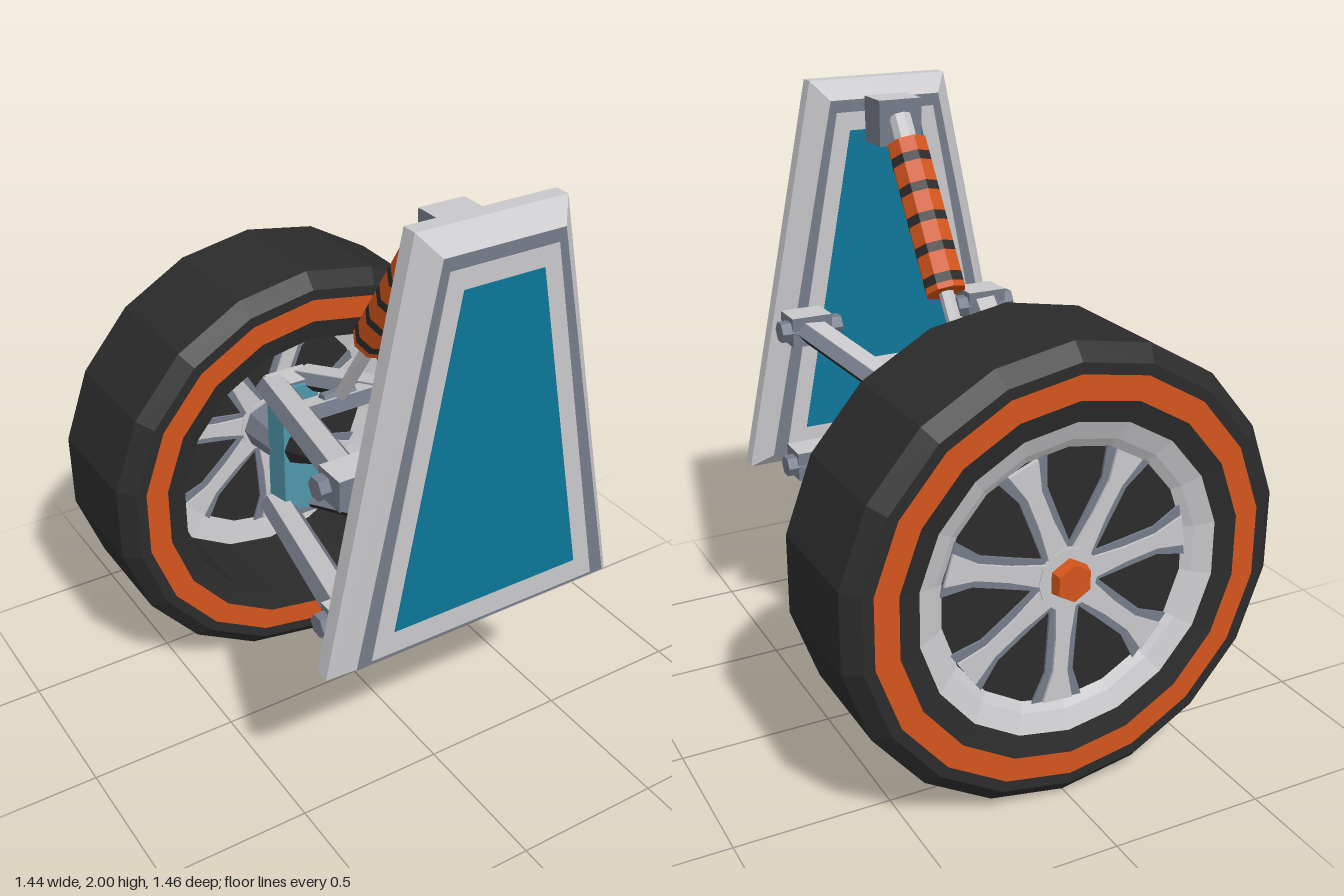
import * as THREE from 'three';

const mat = (name, color) => {
  const m = new THREE.MeshStandardMaterial({ color, flatShading: true });
  m.name = name;
  return m;
};

export function createModel() {
  const rubber = mat('dark rubber', 0x2b2b2b);
  const orange = mat('orange', 0xd3541c);
  const light = mat('light grey', 0xc8c8cb);
  const slate = mat('slate grey', 0x757b8a);
  const teal = mat('teal', 0x0c7698);
  const paleTeal = mat('pale teal', 0x4f97aa);
  const boxMats = [slate, slate, light, slate, slate, slate];

  const model = new THREE.Group();
  model.name = 'wheelSuspension';
  const V = (x, y, z) => new THREE.Vector3(x, y, z);

  const add = (name, geo, material, parent = model) => {
    const m = new THREE.Mesh(geo, material);
    m.name = name;
    parent.add(m);
    return m;
  };
  const box = (name, w, h, d, x, y, z, material = boxMats) => {
    const m = add(name, new THREE.BoxGeometry(w, h, d), material);
    m.position.set(x, y, z);
    return m;
  };
  // Tapered prism running from p to q
  const rod = (name, p, q, r0, r1, sides, material) => {
    const d = q.clone().sub(p);
    const m = add(name, new THREE.CylinderGeometry(r1, r0, d.length(), sides), material);
    m.position.copy(p).addScaledVector(d, 0.5);
    m.quaternion.setFromUnitVectors(V(0, 1, 0), d.normalize());
    return m;
  };
  const polygon = (pts) => new THREE.Shape(pts.map(([x, y]) => new THREE.Vector2(x, y)));
  const plate = (pts, depth) =>
    new THREE.ExtrudeGeometry(polygon(pts), { depth, bevelEnabled: false });

  // ---- Wheel: strips of [radius, z] turned about the axle ----
  const wheel = new THREE.Group();
  wheel.name = 'wheel';
  wheel.position.y = 0.73;
  model.add(wheel);
  const turn = (name, pts, material) => {
    const geo = new THREE.LatheGeometry(pts.map(([r, z]) => new THREE.Vector2(r, z)), 18);
    return add(name, geo.rotateX(Math.PI / 2), material, wheel);
  };
  const zb = -0.73, zf = -0.245;
  turn('tireTread', [[0.645, zb], [0.68, zb], [0.73, -0.685], [0.73, -0.29], [0.68, zf], [0.645, zf]], rubber);
  turn('outerStripe', [[0.568, zb], [0.645, zb]], orange);
  turn('innerStripe', [[0.645, zf], [0.568, zf]], orange);
  turn('outerBead', [[0.5, -0.715], [0.568, zb]], rubber);
  turn('innerBead', [[0.568, zf], [0.5, -0.26], [0.5, -0.6]], rubber);
  turn('outerRim', [[0.41, -0.67], [0.44, -0.69], [0.5, -0.715]], light);
  turn('innerRim', [[0.5, -0.6], [0.41, -0.62]], light);
  turn('outerDisc', [[0, -0.67], [0.41, -0.67]], rubber);
  turn('innerDisc', [[0.41, -0.62], [0, -0.62]], rubber);

  // Seven flared spokes on both faces of the disc
  const flare = (a, b, c) => [[-a, 0.03], [a, 0.03], [b, 0.2], [b, 0.31], [c, 0.405], [-c, 0.405], [-b, 0.31], [-b, 0.2]];
  const spokeEdge = plate(flare(0.05, 0.048, 0.085), 0.008);
  const spokeFace = plate(flare(0.04, 0.025, 0.05), 0.016);
  for (let i = 0; i < 7; i++) {
    const angle = Math.PI + ((i * 2) / 7) * Math.PI + 0.06;
    for (const [geo, depth, material, name] of [[spokeEdge, 0.008, slate, 'spokeEdge'], [spokeFace, 0.016, light, 'spokeFace']]) {
      for (const z of [-0.67 - depth, -0.62]) {
        const s = add(name, geo, material, wheel);
        s.position.z = z;
        s.rotation.z = angle;
      }
    }
  }
  rod('hub', V(0, 0.73, -0.69), V(0, 0.73, -0.6), 0.1, 0.1, 12, light);
  rod('hubNut', V(0, 0.73, -0.735 + 0.01), V(0, 0.73, -0.68), 0.06, 0.07, 6, orange);
  rod('axle', V(0, 0.73, -0.61), V(0, 0.73, -0.42), 0.09, 0.07, 8, slate);
  box('upright', 0.14, 0.5, 0.11, 0, 0.76, -0.4, paleTeal);

  // ---- Chassis panel: bevelled trapezoid, painted on both faces ----
  const trapezoid = (y0, w0, y1, w1) => [[-w0, y0], [w0, y0], [w1, y1], [-w1, y1]];
  const panel = new THREE.ExtrudeGeometry(polygon(trapezoid(0.735, 0.45, 1.94, 0.195)), {
    depth: 0.05, bevelThickness: 0.06, bevelSize: 0.06, bevelSegments: 1,
  });
  add('chassisPanel', panel, [slate, light]).position.z = 0.62;
  const paint = (name, pts, t, material) => {
    const geo = plate(pts, t);
    add(name + 'Front', geo, material).position.z = 0.73;
    add(name + 'Back', geo, material).position.z = 0.56 - t;
  };
  paint('panelBorder', trapezoid(0.745, 0.4, 1.9, 0.175), 0.002, light);
  paint('panelInset', trapezoid(0.82, 0.325, 1.84, 0.13), 0.004, teal);

  // ---- Wishbones: flattened six-sided legs with dark undersides ----
  const arm = (name, p, q) => {
    const g = new THREE.Group();
    g.name = name;
    const len = p.distanceTo(q);
    add('legTop', plate([[-0.062, 0], [0.062, 0], [0.034, 0.032], [-0.034, 0.032]], len), slate, g);
    add('legTopFace', plate([[-0.033, 0.032], [0.033, 0.032], [0.033, 0.035], [-0.033, 0.035]], len), light, g);
    add('legUnderside', plate([[-0.062, 0], [-0.034, -0.032], [0.034, -0.032], [0.062, 0]], len), rubber, g);
    g.position.copy(p);
    g.lookAt(q);
    model.add(g);
  };
  for (const [label, y] of [['upper', 1.205], ['lower', 0.72]]) {
    for (const s of [-1, 1]) {
      arm(label + 'WishboneLeg', V(s * 0.33, y, 0.48), V(s * 0.06, y - 0.215, -0.43));
      box(label + 'WishboneMount', 0.14, 0.1, 0.11, s * 0.33, y, 0.505);
      rod(label + 'WishbonePin', V(s * 0.22, y, 0.485), V(s * 0.435, y, 0.485), 0.037, 0.037, 6, slate);
    }
    box(label + 'BallJoint', 0.15, 0.06, 0.1, 0, y - 0.215, -0.41);
  }
  const cross = box('upperCrossbar', 0.34, 0.05, 0.08, 0, 1.07, -0.1, [slate, slate, light, rubber, slate, slate]);
  cross.rotation.x = -0.23;

  // ---- Drive shaft with boots ----
  box('driveMount', 0.16, 0.16, 0.1, 0, 0.96, 0.515);
  rod('innerBoot', V(0, 0.96, 0.475), V(0, 0.93, 0.36), 0.075, 0.038, 8, rubber);
  rod('driveShaft', V(0, 0.935, 0.38), V(0, 0.775, -0.3), 0.03, 0.03, 6, slate);
  rod('outerBoot', V(0, 0.795, -0.23), V(0, 0.77, -0.35), 0.035, 0.07, 8, rubber);

  // ---- Shock absorber: alternating orange and dark rings ----
  box('shockMount', 0.15, 0.15, 0.12, 0, 1.875, 0.5);
  const top = V(0, 1.815, 0.395), bottom = V(0, 1.385, 0.11);
  const at = (t) => top.clone().lerp(bottom, t);
  rod('shockUpperRod', at(-0.18), at(0.02), 0.038, 0.038, 8, light);
  rod('shockLowerRod', at(0.98), V(0, 1.09, -0.09), 0.024, 0.024, 6, light);
  const cuts = [0, 0.1, 0.16, 0.3, 0.36, 0.5, 0.56, 0.7, 0.76, 0.9, 0.96, 1];
  for (let i = 0; i < cuts.length - 1; i++) {
    rod(i % 2 ? 'springBand' : 'springCoil', at(cuts[i]), at(cuts[i + 1]), 0.068, 0.068, 8, i % 2 ? rubber : orange);
  }
  rod('shockLowerPin', V(-0.06, 1.09, -0.1), V(0.06, 1.09, -0.1), 0.026, 0.026, 6, slate);

  return model;
}
